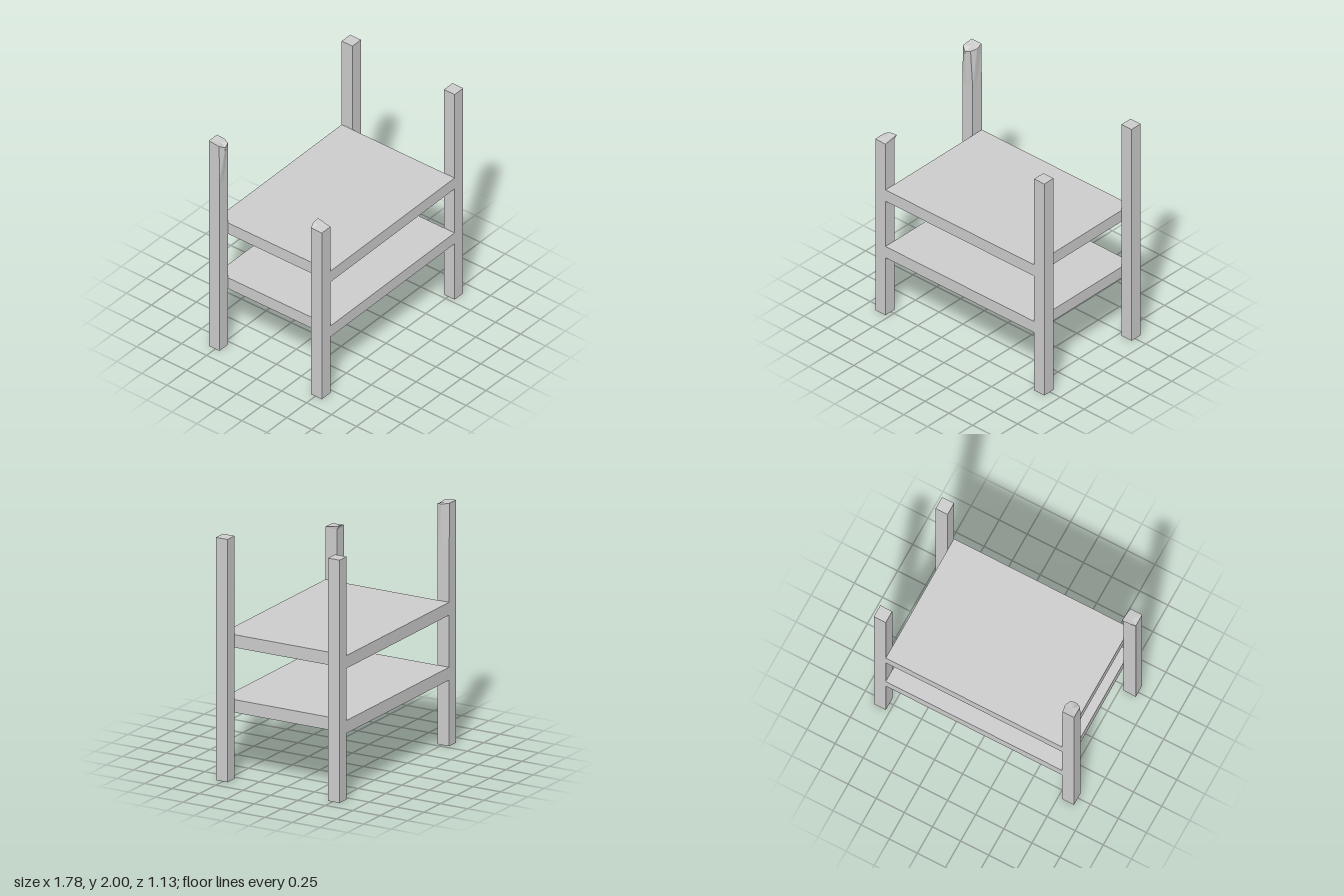
import * as THREE from 'three';

const W = 0.89, D = 0.565, T = 0.107; // half width, half depth, post thickness
const material = new THREE.MeshStandardMaterial({ color: 0xcccccc, flatShading: true, side: THREE.DoubleSide });

function addBox(group, name, w, h, d, x, y, z) {
  const mesh = new THREE.Mesh(new THREE.BoxGeometry(w, h, d), material);
  mesh.name = name;
  mesh.position.set(x, y, z);
  group.add(mesh);
}

// Closed solid through rings of [x, y, z], each counterclockwise seen from above
function loft(rings) {
  const n = rings[0].length, pos = [];
  const tri = (a, b, c) => pos.push(...a, ...b, ...c);
  const centre = (r) => [0, 1, 2].map((k) => r.reduce((s, p) => s + p[k], 0) / n);
  const bottom = rings[0], top = rings[rings.length - 1];
  const cb = centre(bottom), ct = centre(top);
  for (let i = 0; i < n; i++) {
    const j = (i + 1) % n;
    for (let k = 0; k < rings.length - 1; k++) {
      const lo = rings[k], hi = rings[k + 1];
      tri(lo[i], lo[j], hi[j]);
      tri(lo[i], hi[j], hi[i]);
    }
    tri(cb, bottom[j], bottom[i]);
    tri(ct, top[i], top[j]);
  }
  const geometry = new THREE.BufferGeometry();
  geometry.setAttribute('position', new THREE.Float32BufferAttribute(pos, 3));
  geometry.computeVertexNormals();
  return geometry;
}

// Straight post up to flareY, then spreading into an irregular top outline
function addWornPost(group, name, section, flareY, top) {
  const ring = (y) => section.map(([x, z]) => [x, y, z]);
  const mesh = new THREE.Mesh(loft([ring(0), ring(flareY), top]), material);
  mesh.name = name;
  group.add(mesh);
}

export function createModel() {
  const group = new THREE.Group();
  group.name = 'shelfRack';
  const inX = W - T, inZ = D - T;

  // Two thick shelves, flush with the posts front and back
  addBox(group, 'lowerShelf', 2 * inX, 0.106, 2 * D, 0, 0.598, 0);
  addBox(group, 'upperShelf', 2 * inX, 0.106, 2 * D, 0, 1.133, 0);

  // Plain posts on the left side
  for (const s of [1, -1]) {
    addBox(group, s > 0 ? 'frontLeftPost' : 'backLeftPost', T, 2, T, W - T / 2, 1, s * (D - T / 2));
  }

  // Full-height back post whose inner corner swells towards the top
  addWornPost(group, 'backRightPost',
    [[-W, -D], [-W, -inZ], [-0.845, -inZ], [-inX, -inZ], [-inX, -0.5], [-inX, -D]], 1.64,
    [[-W, 2, -D], [-W, 1.99, -0.462], [-0.845, 1.965, -0.436], [-0.797, 1.98, -0.448],
      [-0.776, 1.985, -0.5], [-0.787, 2, -D]]);

  // Shorter front post with a raised lip over its rear edge
  addWornPost(group, 'frontRightPost',
    [[-W, inZ], [-W, D], [-inX, D], [-inX, inZ], [-0.815, inZ], [-0.85, inZ]], 1.615,
    [[-W, 1.622, inZ], [-W, 1.62, D], [-inX, 1.62, D], [-0.778, 1.645, 0.438],
      [-0.815, 1.645, 0.441], [-0.85, 1.64, 0.444]]);

  return group;
}
